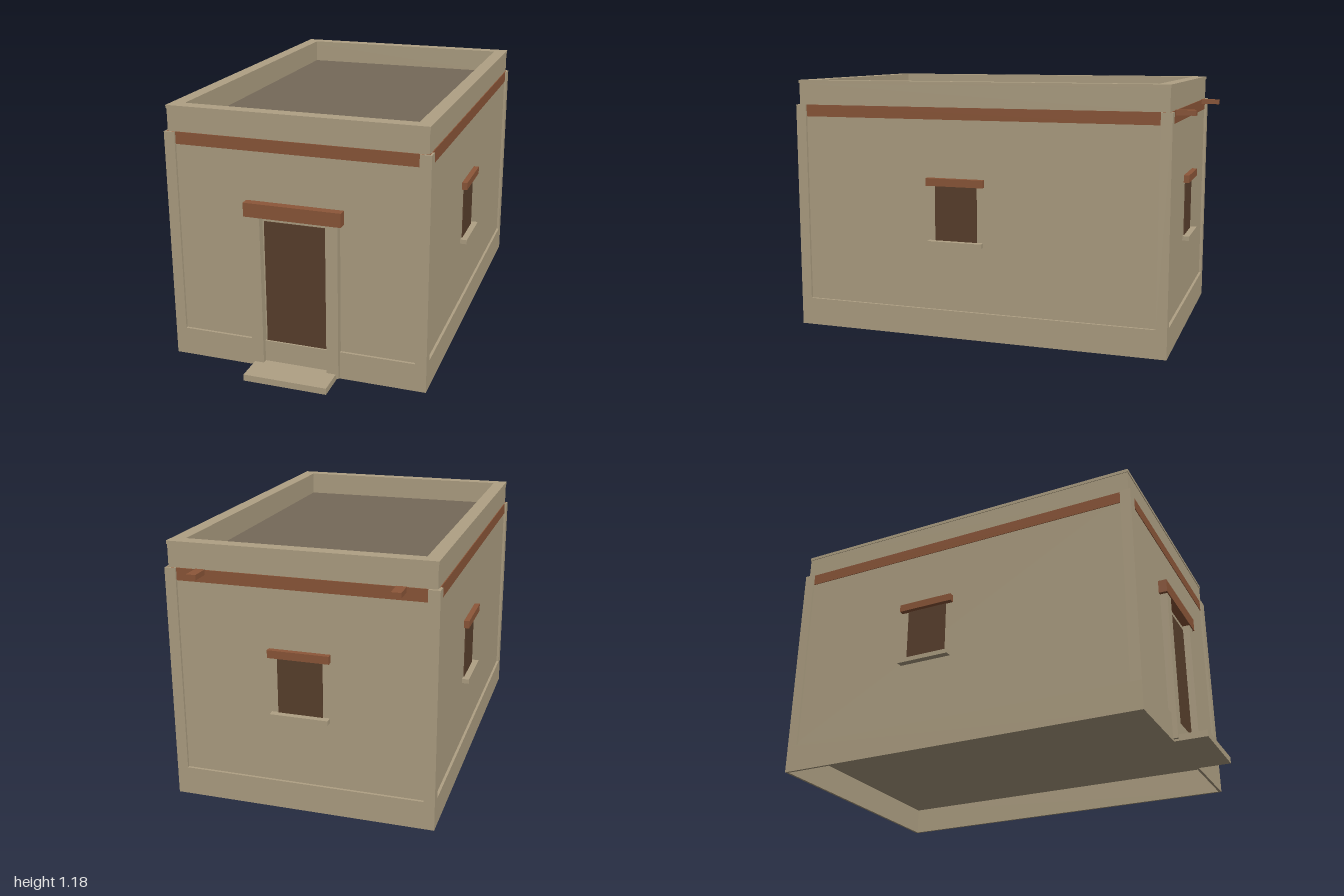
import * as THREE from 'three';

// House footprint: half width, half depth and centre along z
const HX = 0.596, HZ = 0.8865, CZ = -0.0365;
const FRONT = CZ + HZ;

function mat(name, color) {
  const m = new THREE.MeshStandardMaterial({ color });
  m.name = name;
  return m;
}

function add(parent, name, geometry, material) {
  const mesh = new THREE.Mesh(geometry, material);
  mesh.name = name;
  parent.add(mesh);
  return mesh;
}

// Box given by its lower and upper limits on each axis
function box(parent, name, material, [x0, x1], [y0, y1], [z0, z1]) {
  const mesh = add(parent, name, new THREE.BoxGeometry(x1 - x0, y1 - y0, z1 - z0), material);
  mesh.position.set((x0 + x1) / 2, (y0 + y1) / 2, (z0 + z1) / 2);
  return mesh;
}

// Rectangular ring following the footprint, between two insets
function ring(parent, name, material, outer, inner, y0, y1) {
  const corners = (inset) => [[-1, -1], [1, -1], [1, 1], [-1, 1]]
    .map(([a, b]) => new THREE.Vector2(a * (HX - inset), b * (HZ - inset)));
  const shape = new THREE.Shape(corners(outer));
  shape.holes.push(new THREE.Path(corners(inner).reverse()));
  const geo = new THREE.ExtrudeGeometry(shape, { depth: y1 - y0, bevelEnabled: false });
  geo.rotateX(-Math.PI / 2);
  return add(parent, name, geo, material).position.set(0, y0, CZ);
}

export function createModel() {
  const clay = mat('clay', 0xb0a184);
  const wood = mat('wood', 0x8d5739);
  const dark = mat('dark opening', 0x5a402d);
  const earth = mat('roof earth', 0x756959);
  const house = new THREE.Group();
  house.name = 'house';

  // Walls: recessed panels inside a frame of plinth and corner posts
  const inset = 0.012;
  box(house, 'walls', clay, [-HX + inset, HX - inset], [0.13, 1.06],
    [CZ - HZ + inset, CZ + HZ - inset]);
  ring(house, 'plinth', clay, 0, inset, 0, 0.13);
  for (const sx of [-1, 1]) {
    for (const sz of [-1, 1]) {
      const post = add(house, 'cornerPost', new THREE.BoxGeometry(0.05, 0.935, 0.05), clay);
      post.position.set(sx * (HX - 0.025), 0.5975, CZ + sz * (HZ - 0.025));
    }
  }

  // Wooden band, parapet with cap, and sunken roof
  ring(house, 'woodBand', wood, 0.009, 0.04, 1.01, 1.065);
  ring(house, 'parapet', clay, 0.013, 0.068, 1.065, 1.165);
  ring(house, 'parapetCap', clay, 0.01, 0.072, 1.165, 1.18);
  box(house, 'roof', earth, [-HX + 0.06, HX - 0.06], [1.058, 1.068],
    [CZ - HZ + 0.06, CZ + HZ - 0.06]);

  // Doorway
  const doorway = new THREE.Group();
  doorway.name = 'doorway';
  house.add(doorway);
  box(doorway, 'door', dark, [-0.142, 0.142], [0.13, 0.7], [FRONT - 0.014, FRONT - 0.008]);
  for (const s of [-1, 1]) {
    const jamb = box(doorway, 'doorJamb', clay, [0.15, 0.205], [0.01, 0.725], [FRONT - 0.02, 0.873]);
    jamb.position.x *= s;
  }
  box(doorway, 'doorLintel', wood, [-0.222, 0.222], [0.725, 0.788], [FRONT - 0.02, 0.878]);
  box(doorway, 'step', clay, [-0.193, 0.193], [0, 0.03], [FRONT - 0.005, 1]);

  // Windows, built facing +z with the wall face at z = 0
  const addWindow = (name, x, z, turn) => {
    const w = new THREE.Group();
    w.name = name;
    box(w, 'windowPane', dark, [-0.101, 0.101], [0.455, 0.71], [-0.014, -0.008]);
    box(w, 'windowLintel', wood, [-0.137, 0.137], [0.71, 0.745], [-0.02, 0.013]);
    box(w, 'windowSill', clay, [-0.131, 0.131], [0.435, 0.456], [-0.02, 0.02]);
    w.position.set(x, 0, z);
    w.rotation.y = turn;
    house.add(w);
  };
  addWindow('leftWindow', HX, 0.049, Math.PI / 2);
  addWindow('rightWindow', -HX, -0.185, -Math.PI / 2);
  addWindow('backWindow', 0, CZ - HZ, Math.PI);

  // Roof beams poking out at the back
  for (const s of [-1, 1]) {
    const x = s * 0.436;
    box(house, 'roofBeam', wood, [x - 0.0215, x + 0.0215], [1.044, 1.067], [-1, CZ - HZ + 0.03]);
  }
  return house;
}
